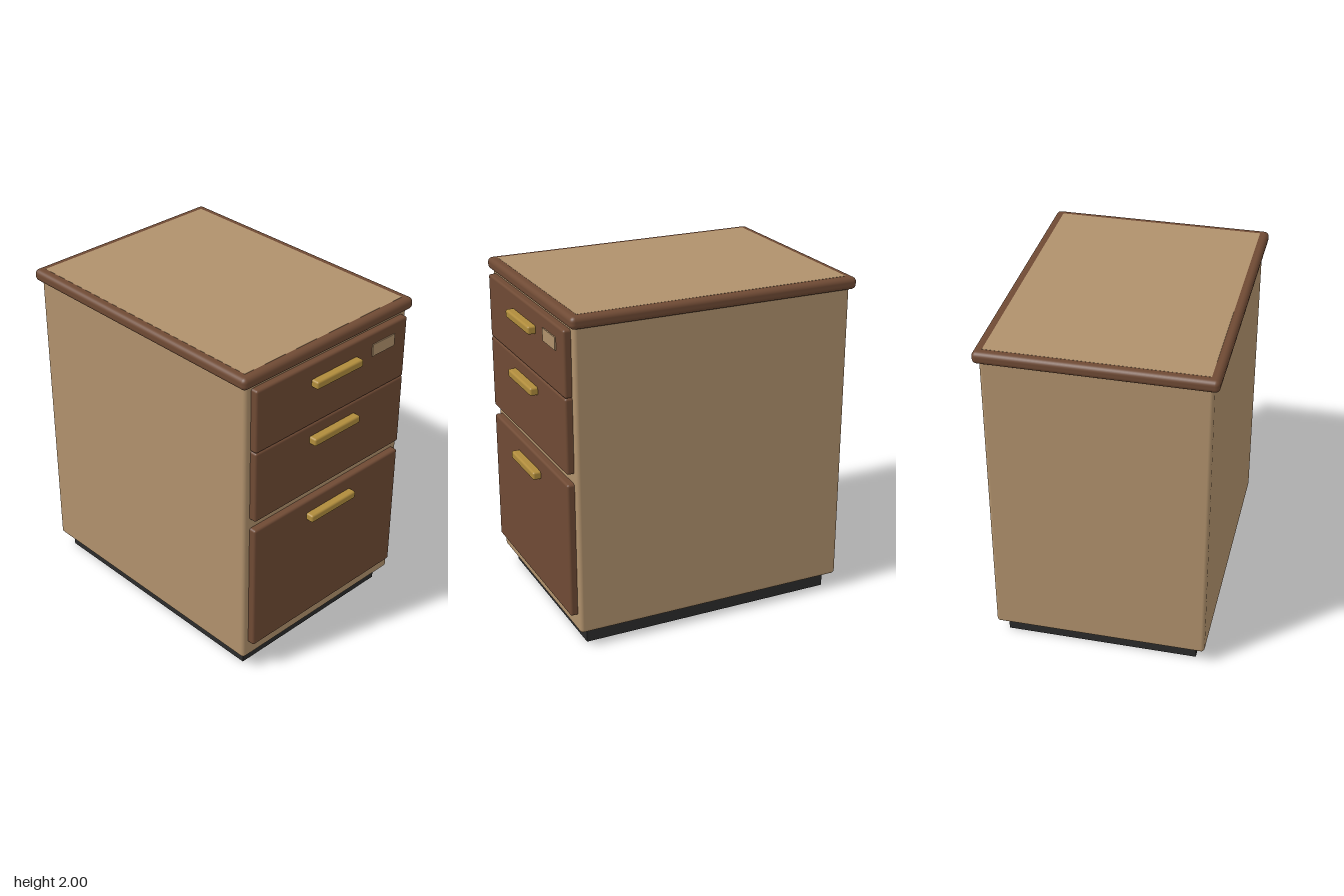
import * as THREE from 'three';
import { RoundedBoxGeometry } from 'three/addons/geometries/RoundedBoxGeometry.js';

const material = (name, color) => {
  const m = new THREE.MeshStandardMaterial({ color });
  m.name = name;
  return m;
};

export function createModel() {
  const tan = material('tan laminate', 0xb0916c);
  const brown = material('brown wood', 0x6f4a34);
  const brass = material('brass', 0xb08c3c);
  const black = material('black plinth', 0x2b2b2b);

  const cabinet = new THREE.Group();
  cabinet.name = 'drawerCabinet';

  // Box given by its [min, max] extents, with optional rounded edges
  const box = (name, mat, [x0, x1], [y0, y1], [z0, z1], radius = 0) => {
    const size = [x1 - x0, y1 - y0, z1 - z0];
    const geometry = radius
      ? new RoundedBoxGeometry(...size, 3, radius)
      : new THREE.BoxGeometry(...size);
    const mesh = new THREE.Mesh(geometry, mat);
    mesh.name = name;
    mesh.position.set((x0 + x1) / 2, (y0 + y1) / 2, (z0 + z1) / 2);
    cabinet.add(mesh);
  };

  // Recessed base and carcass
  box('plinth', black, [-0.575, 0.575], [0, 0.11], [-0.82, 0.76]);
  box('carcass', tan, [-0.633, 0.633], [0.095, 1.955], [-0.88, 0.82], 0.022);

  // Overhanging top with a thin inlaid panel
  box('top', brown, [-0.665, 0.665], [1.927, 1.999], [-0.91, 0.845], 0.028);
  box('topInlay', tan, [-0.615, 0.615], [1.995, 2], [-0.86, 0.795]);

  // Drawers: bottom edge, top edge, handle centre height
  const drawers = [
    ['bottom', 0.2, 1.02, 0.915],
    ['middle', 1.08, 1.527, 1.432],
    ['top', 1.527, 1.913, 1.794],
  ];
  for (const [name, y0, y1, handleY] of drawers) {
    box(`${name}DrawerFront`, brown, [-0.593, 0.593], [y0, y1], [0.805, 0.863], 0.014);
    box(`${name}DrawerHandle`, brass, [-0.182, 0.182], [handleY - 0.024, handleY + 0.024], [0.855, 0.91], 0.012);
  }

  // Label plate on the top drawer
  box('labelPlate', tan, [0.302, 0.484], [1.77, 1.844], [0.862, 0.87]);

  return cabinet;
}
